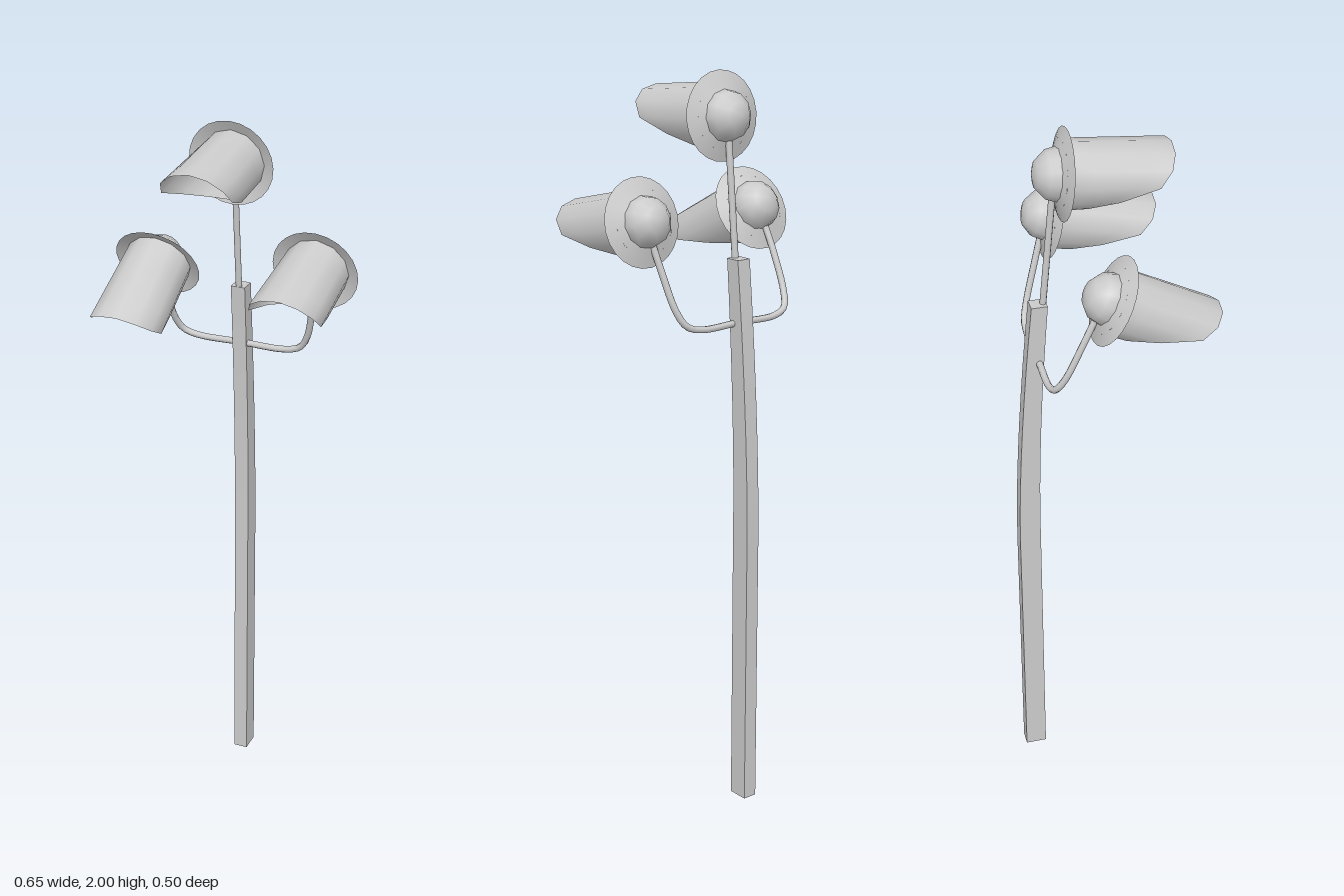
import * as THREE from 'three';

const material = new THREE.MeshStandardMaterial({ color: 0xcccccc, side: THREE.DoubleSide });
const POLE_X = -0.037;

function part(name, geometry) {
  const mesh = new THREE.Mesh(geometry, material);
  mesh.name = name;
  return mesh;
}

// Square pole that leans forward and thins towards the top
function makePole() {
  const height = 1.525;
  const geo = new THREE.BoxGeometry(0.04, height, 1, 1, 16, 1);
  geo.translate(0, height / 2, 0);
  const pos = geo.attributes.position;
  for (let i = 0; i < pos.count; i++) {
    const t = Math.max(0, (pos.getY(i) - 0.8) / 0.725);
    const depth = 0.058 - 0.015 * t;
    pos.setXYZ(i, POLE_X + pos.getX(i), pos.getY(i), -0.217 + 0.04 * t ** 1.7 + pos.getZ(i) * depth);
  }
  geo.computeVertexNormals();
  return part('pole', geo);
}

// Round rod through a few points
function makeRod(name, points, segments) {
  const curve = new THREE.CatmullRomCurve3(points.map(p => new THREE.Vector3(...p)), false, 'centripetal');
  return part(name, new THREE.TubeGeometry(curve, segments, 0.009, 8));
}

// Hood: a sleeve cut away at the underside; reach is given every 30 degrees from the top
function makeHood() {
  const reach = [0.265, 0.263, 0.25, 0.222, 0.13, 0.06, 0.035];
  const sides = 12, rows = 4, back = -0.011;
  const vertices = [], index = [];
  for (let r = 0; r <= rows; r++) {
    for (let s = 0; s < sides; s++) {
      const angle = (s / sides) * Math.PI * 2;
      const z = THREE.MathUtils.lerp(back, reach[Math.min(s, sides - s)], r / rows);
      const k = (z - back) / 0.276;
      vertices.push(
        Math.sin(angle) * (0.088 + 0.01 * k),
        Math.cos(angle) * (0.088 - 0.008 * k) + 0.008 * k,
        z
      );
    }
  }
  for (let r = 0; r < rows; r++) {
    for (let s = 0; s < sides; s++) {
      const a = r * sides + s, b = r * sides + (s + 1) % sides;
      index.push(a, a + sides, b, b, a + sides, b + sides);
    }
  }
  const geo = new THREE.BufferGeometry();
  geo.setAttribute('position', new THREE.Float32BufferAttribute(vertices, 3));
  geo.setIndex(index);
  geo.computeVertexNormals();
  return part('hood', geo);
}

// Spotlight head facing +z, tipped down by tilt
function makeLamp(name, position, tilt, roll) {
  const lamp = new THREE.Group();
  lamp.name = name;

  const bulb = new THREE.SphereGeometry(0.07, 12, 6);
  bulb.rotateX(Math.PI / 2).translate(0, 0, -0.01);

  const brim = new THREE.LatheGeometry([
    new THREE.Vector2(0.062, -0.02),
    new THREE.Vector2(0.117, 0)
  ], 24);
  brim.rotateX(Math.PI / 2);

  lamp.add(part('bulbHousing', bulb), part('brim', brim), makeHood());
  lamp.position.set(...position);
  lamp.rotation.set(tilt, 0, roll);
  return lamp;
}

export function createModel() {
  const model = new THREE.Group();
  model.name = 'streetLamp';
  model.add(
    makePole(),
    makeRod('topStem', [[POLE_X, 1.49, -0.167], [POLE_X, 1.83, -0.135]], 1),
    // One bent rod carries both side lamps
    makeRod('sideArms', [
      [-0.218, 1.58, -0.07], [-0.222, 1.5, -0.108], [-0.219, 1.41, -0.15], [-0.203, 1.37, -0.172],
      [-0.165, 1.355, -0.18], [POLE_X, 1.355, -0.18], [0.09, 1.355, -0.18],
      [0.135, 1.37, -0.177], [0.16, 1.41, -0.165], [0.185, 1.52, -0.133], [0.2, 1.6, -0.11]
    ], 48),
    makeLamp('topLamp', [POLE_X, 1.885, -0.107], 0.12, 0),
    makeLamp('leftLamp', [0.207, 1.635, -0.085], 0.24, -0.08),
    makeLamp('rightLamp', [-0.211, 1.615, -0.025], 0.49, -0.1)
  );
  return model;
}
